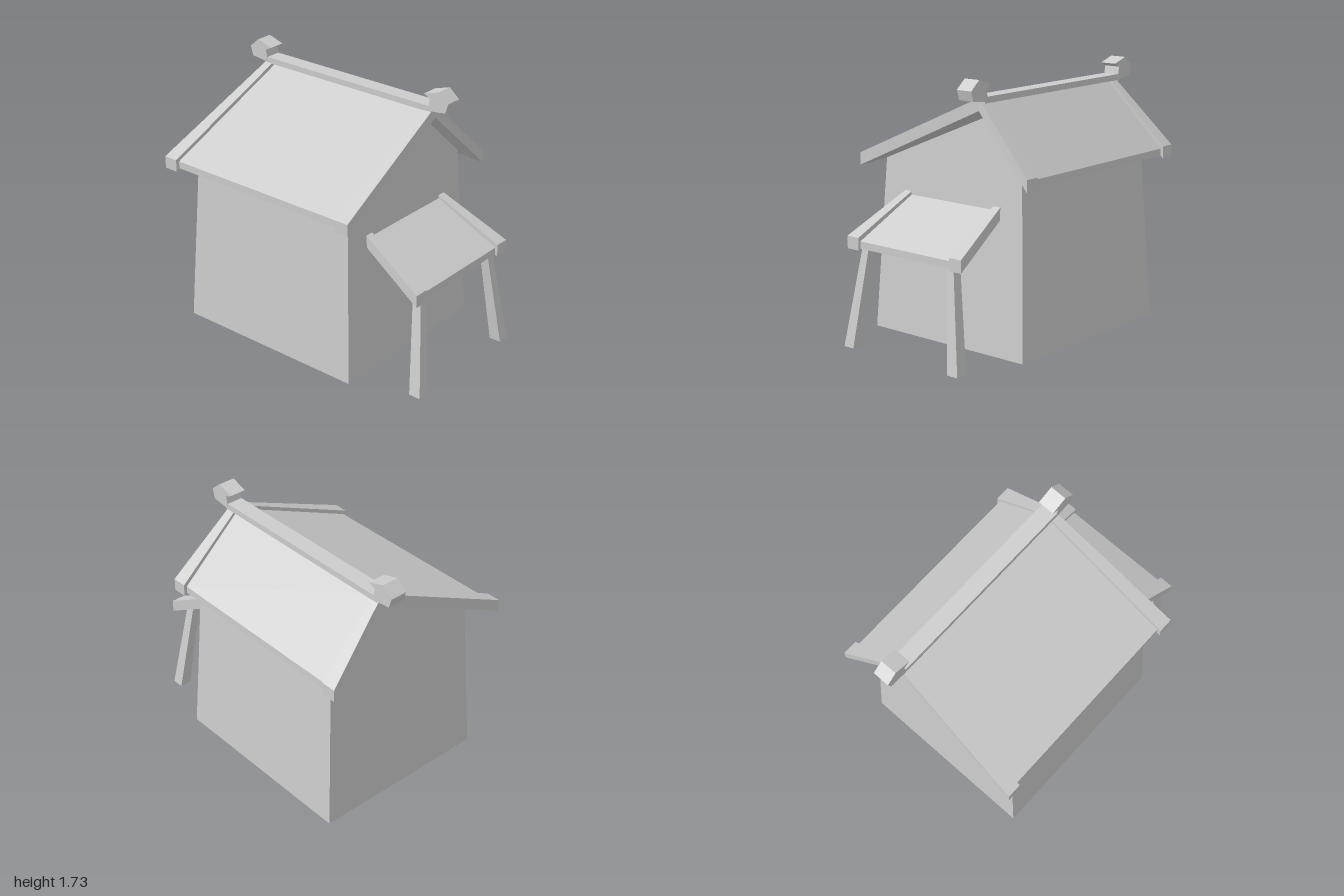
import * as THREE from 'three';

const stone = new THREE.MeshStandardMaterial({ color: 0xcccccc, side: THREE.DoubleSide });
stone.name = 'plain grey';

// Flat-faced solid joining two matching convex rings of [x, y, z] points.
// skipStart leaves the first cap open, skipEdge leaves out one side face.
function loft(name, a, b, { skipStart = false, skipEdge = -1 } = {}) {
  const A = a.map((p) => new THREE.Vector3(...p));
  const B = b.map((p) => new THREE.Vector3(...p));
  const n = A.length;
  const normal = new THREE.Vector3();
  const along = new THREE.Vector3();
  A.forEach((p, i) => {
    normal.add(p.clone().cross(A[(i + 1) % n]));
    along.add(B[i]).sub(p);
  });
  const flip = normal.dot(along) < 0;
  const points = [];
  const tri = (p, q, r) => points.push(...(flip ? [p, r, q] : [p, q, r]));
  for (let i = 0; i < n; i++) {
    if (i === skipEdge) continue;
    const j = (i + 1) % n;
    tri(A[i], A[j], B[j]);
    tri(A[i], B[j], B[i]);
  }
  for (let i = 1; i < n - 1; i++) {
    if (!skipStart) tri(A[0], A[i + 1], A[i]);
    tri(B[0], B[i], B[i + 1]);
  }
  const geometry = new THREE.BufferGeometry().setFromPoints(points);
  geometry.computeVertexNormals();
  const mesh = new THREE.Mesh(geometry, stone);
  mesh.name = name;
  return mesh;
}

// Upright rectangle facing z, or facing x
const faceZ = (x0, x1, y0, y1, z) => [[x0, y0, z], [x1, y0, z], [x1, y1, z], [x0, y1, z]];
const faceX = (z0, z1, y0, y1, x) => [[x, y0, z0], [x, y0, z1], [x, y1, z1], [x, y1, z0]];
// Level rectangle
const level = (x0, x1, z0, z1, y) => [[x0, y, z0], [x1, y, z0], [x1, y, z1], [x0, y, z1]];

export function createModel() {
  const model = new THREE.Group();
  model.name = 'hut';

  // Tapered walls with gables, open underneath
  const gable = [[0.55, 0, 0.62], [0.55, 0, -0.63], [0.487, 1.19, -0.57], [0.47, 1.485, -0.26], [0.49, 1.14, 0.56]];
  model.add(loft('walls', gable, gable.map(([x, y, z]) => [-0.28 - x, y, z]), { skipEdge: 0 }));

  // Main roof: a panel and two flaring edge boards on each slope
  const roof = new THREE.Group();
  roof.name = 'mainRoof';
  const cx = -0.17;
  const ridgeZ = -0.26;
  for (const [side, panelZ, boardZ] of [['front', 0.67, 0.695], ['back', -0.68, -0.7]]) {
    roof.add(loft(side + 'RoofPanel',
      faceZ(cx - 0.67, cx + 0.67, 1.107, 1.155, panelZ),
      faceZ(cx - 0.64, cx + 0.64, 1.53, 1.585, ridgeZ)));
    for (const s of [-1, 1]) {
      roof.add(loft(side + (s > 0 ? 'Left' : 'Right') + 'EdgeBoard',
        faceZ(cx + s * 0.67, cx + s * 0.77, 1.09, 1.172, boardZ),
        faceZ(cx + s * 0.638, cx + s * 0.695, 1.53, 1.61, ridgeZ)));
    }
  }

  // Ridge beam
  const beam = new THREE.Mesh(new THREE.BoxGeometry(1.4, 0.04, 0.11), stone);
  beam.name = 'ridgeBeam';
  beam.position.set(cx, 1.602, ridgeZ);
  roof.add(beam);

  // Curled ornaments at the ridge ends
  const curl = [[0.69, 1.59], [0.81, 1.605], [0.83, 1.67], [0.757, 1.732], [0.643, 1.696], [0.69, 1.672], [0.68, 1.622]];
  for (const s of [-1, 1]) {
    const shape = new THREE.Shape(curl.map(([x, y]) => new THREE.Vector2(cx + s * x, y)));
    const geometry = new THREE.ExtrudeGeometry(shape, { depth: 0.115, bevelEnabled: false });
    const ornament = new THREE.Mesh(geometry, stone);
    ornament.name = s > 0 ? 'leftRidgeOrnament' : 'rightRidgeOrnament';
    ornament.position.z = ridgeZ - 0.0575;
    roof.add(ornament);
  }
  model.add(roof);

  // Side porch: sloping panel, edge boards and splayed legs
  const porch = new THREE.Group();
  porch.name = 'porch';
  const cz = -0.01;
  porch.add(loft('porchRoofPanel',
    faceX(cz - 0.345, cz + 0.345, 0.88, 0.93, 0.49),
    faceX(cz - 0.38, cz + 0.38, 0.645, 0.692, 0.935)));
  for (const s of [-1, 1]) {
    const side = s > 0 ? 'front' : 'back';
    porch.add(loft(side + 'PorchEdgeBoard',
      faceX(cz + s * 0.343, cz + s * 0.398, 0.872, 0.952, 0.49),
      faceX(cz + s * 0.38, cz + s * 0.476, 0.635, 0.717, 0.952)));
    porch.add(loft(side + 'PorchLeg',
      level(0.915, 0.997, cz + s * 0.4, cz + s * 0.48, 0),
      level(0.85, 0.91, cz + s * 0.325, cz + s * 0.378, 0.68), { skipStart: true }));
  }
  model.add(porch);
  return model;
}
